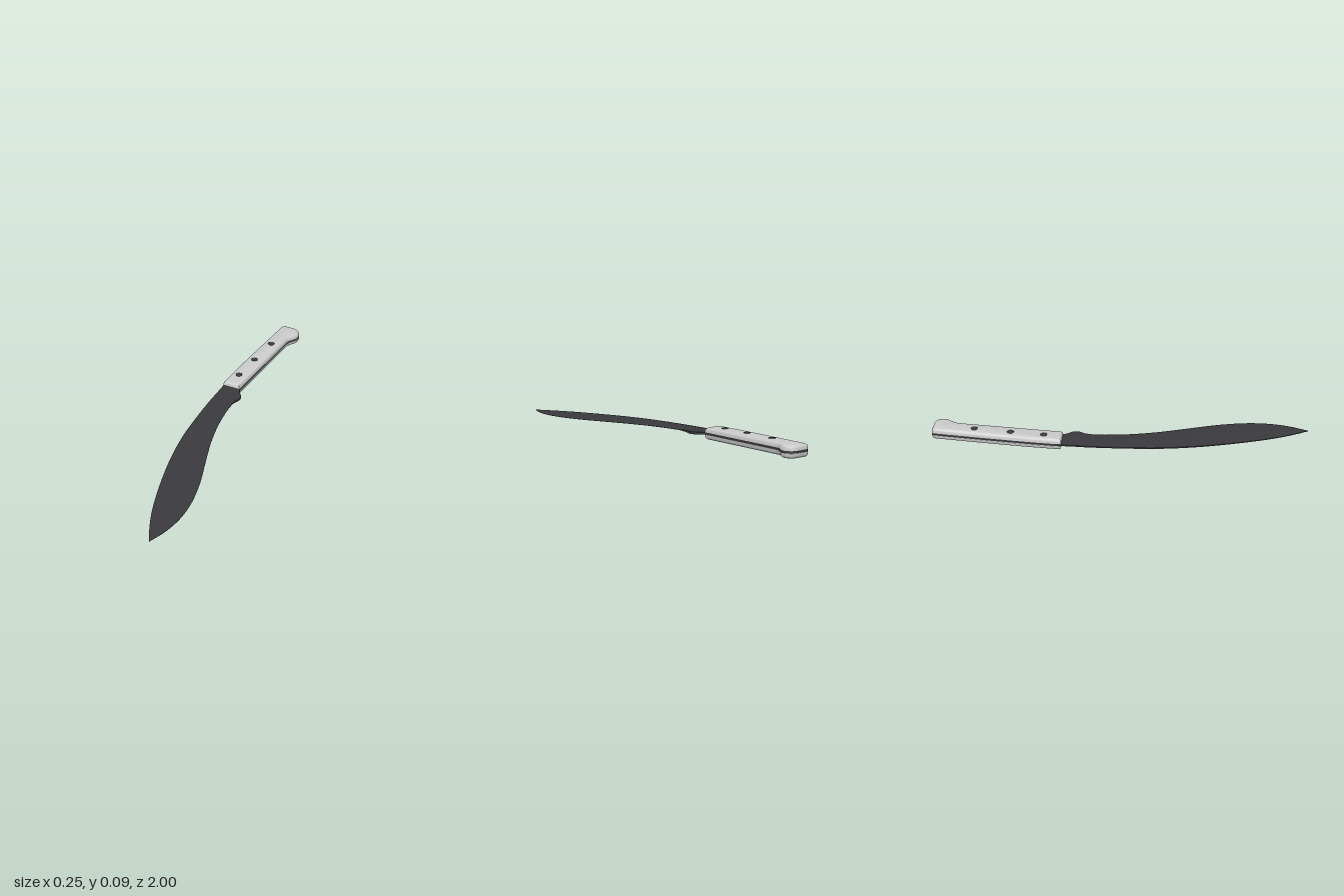
import * as THREE from 'three';
import { toCreasedNormals } from 'three/addons/utils/BufferGeometryUtils.js';

const steel = new THREE.MeshStandardMaterial({ color: 0x3a3a3e });
const grip = new THREE.MeshStandardMaterial({ color: 0xcccccc });
const TANG = 0.006; // half thickness of the steel
const SCALE = 0.026; // thickness of each grip scale

// Handle outline in plan; s = -1 or 1 chooses the sign of z
function handleShape(s) {
  const p = new THREE.Shape();
  p.moveTo(-0.1, -0.322 * s);
  p.bezierCurveTo(-0.08, -0.5 * s, -0.03, -0.78 * s, 0.004, -0.975 * s);
  p.quadraticCurveTo(0.007, -1.0 * s, 0.025, -1.0 * s);
  p.lineTo(0.085, -0.993 * s);
  p.quadraticCurveTo(0.122, -0.985 * s, 0.125, -0.945 * s);
  p.quadraticCurveTo(0.126, -0.925 * s, 0.11, -0.905 * s);
  p.quadraticCurveTo(0.085, -0.88 * s, 0.081, -0.855 * s);
  p.lineTo(-0.003, -0.312 * s);
  p.closePath();
  return p;
}

// Grip scale: rounded outside, flat against the tang
function gripScale(side) {
  const b = 0.019;
  const geo = new THREE.ExtrudeGeometry(handleShape(-side), {
    depth: SCALE - b, bevelThickness: b, bevelSize: b, bevelOffset: -b, bevelSegments: 5, curveSegments: 10,
  });
  const pos = geo.attributes.position;
  for (let i = 0; i < pos.count; i++) if (pos.getZ(i) < 0) pos.setZ(i, 0);
  geo.rotateX(-side * Math.PI / 2);
  geo.translate(0, side * TANG, 0);
  return new THREE.Mesh(toCreasedNormals(geo, 0.7), grip);
}

// Blade: hexagonal cross-sections from the handle to the point
function bladeGeometry() {
  // spine x, edge x, z
  const rows = [
    [-0.099, -0.004, -0.34], [-0.102, 0.004, -0.3], [-0.106, 0.028, -0.255], [-0.108, 0.028, -0.228],
    [-0.112, 0.012, -0.195], [-0.116, 0.006, -0.14], [-0.124, 0.009, 0.02], [-0.126, 0.03, 0.18],
    [-0.113, 0.07, 0.36], [-0.088, 0.108, 0.53], [-0.058, 0.125, 0.68], [-0.028, 0.119, 0.8],
    [0.009, 0.091, 0.91], [0.048, 0.049, 1.0],
  ].map((r) => new THREE.Vector3(...r));
  const curve = new THREE.CatmullRomCurve3(rows, false, 'centripetal');
  const N = 78, verts = [], index = [];
  for (let i = 0; i <= N; i++) {
    const { x: a, y: e, z } = curve.getPoint(i / N);
    const w = e - a;
    const h = TANG * (1 - 0.55 * THREE.MathUtils.smoothstep(z, 0.2, 1));
    const thin = THREE.MathUtils.smoothstep(z, -0.23, -0.12); // edge bevel starts past the choil
    const edge = THREE.MathUtils.lerp(h, 0.0006, thin);
    const c = Math.min(0.012, w * 0.15);
    const ridge = e - Math.min(0.035, w * 0.4);
    verts.push(a, h * 0.6, z, a + c, h, z, ridge, h * (1 - 0.25 * thin), z, e, edge, z,
      e, -edge, z, ridge, -h * (1 - 0.25 * thin), z, a + c, -h, z, a, -h * 0.6, z);
  }
  const M = 8;
  for (let i = 0; i < N; i++) {
    for (let j = 0; j < M; j++) {
      const p = i * M + j, q = i * M + ((j + 1) % M);
      index.push(p, p + M, q, q, p + M, q + M);
    }
  }
  for (let j = 1; j < M - 1; j++) {
    index.push(0, j, j + 1, N * M, N * M + j + 1, N * M + j); // end caps
  }
  const geo = new THREE.BufferGeometry();
  geo.setAttribute('position', new THREE.Float32BufferAttribute(verts, 3));
  geo.setIndex(index);
  return toCreasedNormals(geo, 0.35);
}

export function createModel() {
  const model = new THREE.Group();
  model.name = 'knife';
  const knife = new THREE.Group();
  knife.name = 'tiltedKnife';
  const add = (name, mesh) => {
    mesh.name = name;
    knife.add(mesh);
    return mesh;
  };

  add('blade', new THREE.Mesh(bladeGeometry(), steel));

  // Steel tang between the scales
  const tang = new THREE.ExtrudeGeometry(handleShape(-1), {
    depth: TANG * 2, bevelThickness: 0, bevelSize: 0, bevelOffset: -0.002, bevelSegments: 1, curveSegments: 10,
  });
  tang.rotateX(-Math.PI / 2).translate(0, -TANG, 0);
  add('tang', new THREE.Mesh(toCreasedNormals(tang, 0.7), steel));

  add('upperGripScale', gripScale(1));
  add('lowerGripScale', gripScale(-1));

  // Rivets: dark domed heads above, flush light ends below
  const top = TANG + SCALE;
  const head = new THREE.LatheGeometry(
    [[0.018, -0.01], [0.018, 0.001], [0.014, 0.0035], [0.007, 0.005], [0, 0.0055]].map((p) => new THREE.Vector2(...p)), 20);
  const end = new THREE.CylinderGeometry(0.014, 0.014, 0.01, 20);
  [[0.016, -0.777], [-0.016, -0.587], [-0.043, -0.413]].forEach(([x, z], i) => {
    add(`rivetHead${i + 1}`, new THREE.Mesh(head, steel)).position.set(x, top, z);
    add(`rivetEnd${i + 1}`, new THREE.Mesh(end, grip)).position.set(x, -top + 0.0045, z);
  });

  // The knife rests on its point and the front of the handle
  knife.rotation.x = 0.029;
  knife.position.y = 0.0325;
  model.add(knife);
  return model;
}
